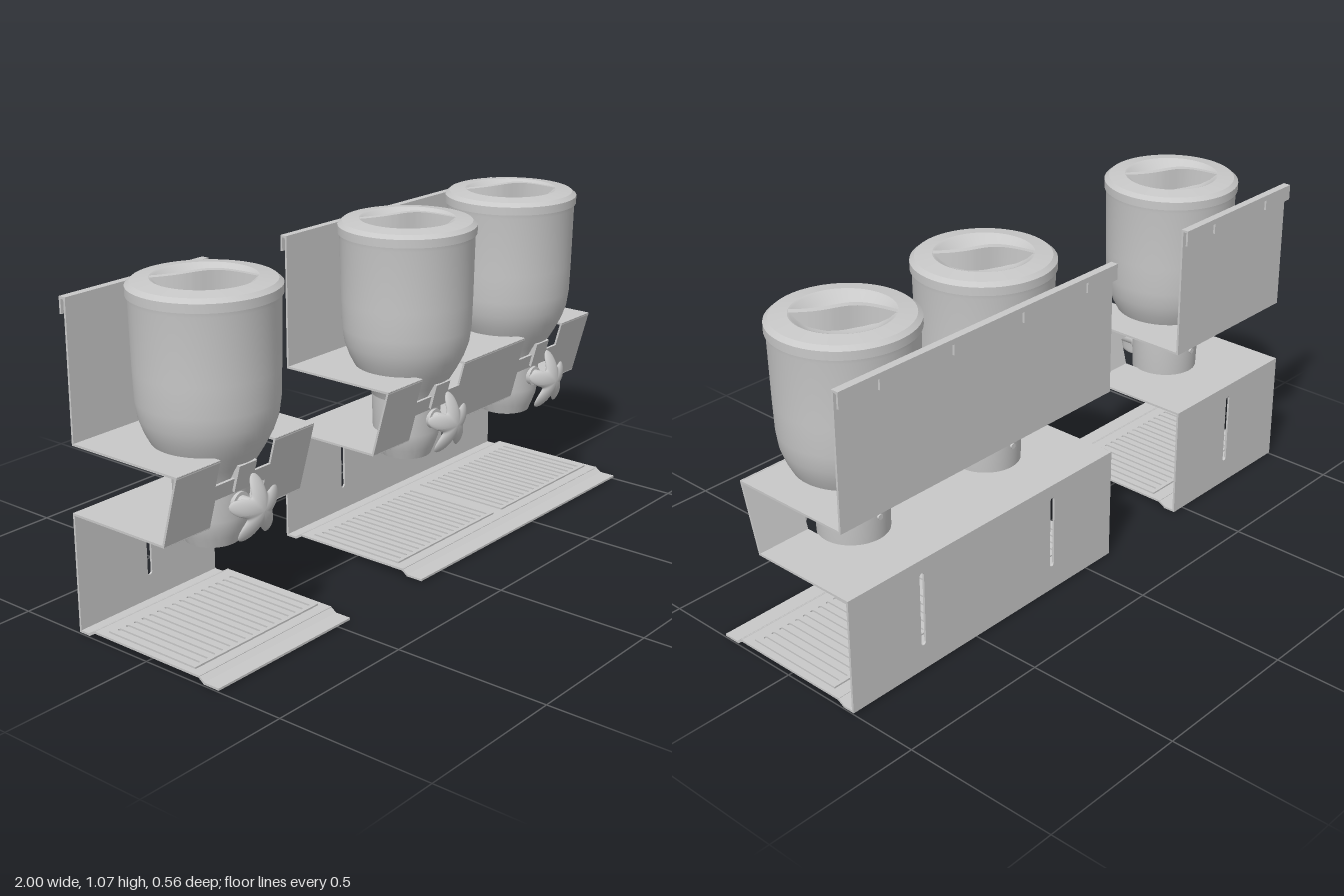
import * as THREE from 'three';
import { toCreasedNormals } from 'three/addons/utils/BufferGeometryUtils.js';

const grey = new THREE.MeshStandardMaterial({ color: 0xc8c8c8 });
grey.name = 'light grey';
const T = 0.007; // sheet thickness

function add(parent, name, geometry, x = 0, y = 0, z = 0) {
  const mesh = new THREE.Mesh(geometry, grey);
  mesh.name = name;
  mesh.position.set(x, y, z);
  parent.add(mesh);
  return mesh;
}

const lathe = (pts, sides = 64) => toCreasedNormals(
  new THREE.LatheGeometry(pts.map(([r, y]) => new THREE.Vector2(r, y)), sides), 0.5);

// Rounded slot running along the second axis, used as a hole in a plate
function slot(x, a, b, w) {
  const p = new THREE.Path(), r = w / 2;
  p.moveTo(x - r, a + r);
  p.absarc(x, a + r, r, Math.PI, Math.PI * 2, false);
  p.absarc(x, b - r, r, 0, Math.PI, false);
  p.closePath();
  return p;
}

// Sheet from a to b (each [z, y]), spanning x0..x1; notches [x, width, depth] cut either edge
function sheet(parent, name, a, b, x0, x1, { start = [], end = [], holes = [] } = {}) {
  const A = new THREE.Vector3(0, a[1], a[0]), B = new THREE.Vector3(0, b[1], b[0]);
  const L = A.distanceTo(B), e = T / 2;
  const pts = [[x0, -e]];
  for (const [x, w, d] of start)
    pts.push([x - w / 2, -e], [x - w / 2, d], [x + w / 2, d], [x + w / 2, -e]);
  pts.push([x1, -e], [x1, L + e]);
  for (const [x, w, d] of [...end].reverse())
    pts.push([x + w / 2, L + e], [x + w / 2, L - d], [x - w / 2, L - d], [x - w / 2, L + e]);
  pts.push([x0, L + e]);
  const shape = new THREE.Shape(pts.map(p => new THREE.Vector2(...p)));
  shape.holes = holes;
  const g = new THREE.ExtrudeGeometry(shape, { depth: T, bevelEnabled: false, curveSegments: 6 });
  g.translate(0, 0, -e);
  const X = new THREE.Vector3(1, 0, 0), Y = B.clone().sub(A).normalize();
  g.applyMatrix4(new THREE.Matrix4().makeBasis(X, Y, X.clone().cross(Y)).setPosition(A));
  add(parent, name, g);
}

// Folded sheet stand with hook, two shelves, slotted back and drip tray
function makeStand(x0, x1, centres) {
  const g = new THREE.Group();
  g.name = 'stand';
  const s = (name, a, b, cuts) => sheet(g, name, a, b, x0, x1, cuts);
  const cut = (w, d) => centres.map(c => [c, w, d]);

  s('hookLip', [-0.275, 1.003], [-0.275, 0.96],
    { end: centres.flatMap(c => [[c - 0.138, 0.01, 0.03], [c + 0.138, 0.01, 0.03]]) });
  s('hookTop', [-0.275, 1.003], [-0.257, 1.003]);
  s('upperBack', [-0.257, 1.003], [-0.257, 0.583]);
  s('upperShelf', [-0.257, 0.583], [0.145, 0.583], { end: cut(0.22, 0.07) });
  s('slopedFront', [0.145, 0.583], [0.087, 0.371], { start: cut(0.22, 0.08), end: cut(0.2, 0.09) });
  s('lowerShelf', [0.087, 0.371], [-0.27, 0.371], { start: cut(0.2, 0.07) });
  s('lowerBack', [-0.27, 0.371], [-0.27, 0.008],
    { holes: centres.map(c => slot(c, 0.04, 0.283, 0.018)) });
  const base = [[-0.27, 0.008], [-0.235, 0.008], [-0.21, 0.022], [0.205, 0.022], [0.225, 0.008], [0.276, 0.008]];
  for (let i = 0; i < base.length - 1; i++) s('base', base[i], base[i + 1]);

  for (const c of centres) {
    // Slotted drip grille
    const holes = [];
    for (let i = 0; i < 16; i++) holes.push(slot(c + (i - 7.5) * 0.0305, -0.16, 0.16, 0.012));
    sheet(g, 'dripGrille', [0, 0.0275], [0.0001, 0.0275], c, c); // centre seam strip
    g.children.pop();
    const plate = new THREE.Shape([[-0.255, -0.172], [0.255, -0.172], [0.255, 0.172], [-0.255, 0.172]]
      .map(([x, y]) => new THREE.Vector2(c + x, y)));
    plate.holes = holes;
    const pg = new THREE.ExtrudeGeometry(plate, { depth: 0.006, bevelEnabled: false, curveSegments: 4 });
    pg.rotateX(-Math.PI / 2);
    add(g, 'dripGrille', pg, 0, 0.025, 0);
    // Feet
    for (const dx of [-0.21, 0.21]) for (const z of [-0.253, 0.252])
      add(g, 'foot', new THREE.BoxGeometry(0.042, 0.006, 0.026), c + dx, 0.003, z);
  }
  return g;
}

// Five-lobed knob: a flattened ball pulled into lobes and bowed backwards
function knobGeometry() {
  const g = new THREE.SphereGeometry(1, 80, 20).rotateX(Math.PI / 2);
  const p = g.attributes.position;
  for (let i = 0; i < p.count; i++) {
    const x = p.getX(i), y = p.getY(i), a = Math.atan2(x, y);
    const R = 0.077 + 0.025 * Math.cos(5 * a), r = Math.hypot(x, y) * R;
    p.setXYZ(i, x * R, y * R, p.getZ(i) * 0.013 - 0.03 * (r / 0.1) ** 2);
  }
  g.computeVertexNormals();
  return g;
}

// S-shaped lid grip with an arched top edge
function gripGeometry() {
  const g = new THREE.BoxGeometry(2, 1, 0.022, 28, 1, 1);
  const p = g.attributes.position;
  for (let i = 0; i < p.count; i++) {
    const t = p.getX(i);
    const top = 1.052 + 0.018 * (1 - t * t), bottom = 0.985 + 0.045 * t * t;
    const z = 0.112 * (0.45 * t + 0.55 * t ** 3);
    p.setXYZ(i, 0.1 * t - p.getZ(i) * 0.6, p.getY(i) > 0 ? top : bottom, z + p.getZ(i) * 0.8);
  }
  return toCreasedNormals(g, 0.6);
}

function makeDispenser(x) {
  const g = new THREE.Group();
  g.name = 'dispenser';
  g.position.x = x;
  add(g, 'hopper', lathe([[0.108, 0.48], [0.114, 0.495], [0.133, 0.53], [0.16, 0.575], [0.182, 0.618],
    [0.197, 0.66], [0.204, 0.71], [0.207, 0.8], [0.211, 0.995], [0.213, 1.008], [0, 1.008]].slice(0, -1)));
  add(g, 'spout', lathe([[0, 0.285], [0.08, 0.285], [0.092, 0.315], [0.103, 0.345], [0.107, 0.37],
    [0.111, 0.498], [0, 0.5]]));
  // Lid with a dished centre
  add(g, 'lid', lathe([[0.2, 1.006], [0.217, 1.008], [0.217, 1.034], [0.203, 1.046], [0.15, 1.053],
    [0.143, 1.05], [0.125, 1.032], [0.095, 1.015], [0.05, 1.004], [0, 1.0]]));
  add(g, 'lidGrip', gripGeometry());
  // Turning knob on its shaft
  add(g, 'knobShaft', new THREE.CylinderGeometry(0.022, 0.022, 0.09, 24).rotateX(Math.PI / 2), 0, 0.42, 0.15);
  add(g, 'shaftCollar', new THREE.CylinderGeometry(0.032, 0.032, 0.02, 24).rotateX(Math.PI / 2), 0, 0.42, 0.108);
  add(g, 'knob', knobGeometry(), 0, 0.418, 0.193);
  // Front tab and rear screw on the neck
  add(g, 'neckTab', new THREE.BoxGeometry(0.07, 0.085, 0.03), 0, 0.508, 0.122).rotation.x = 0.27;
  add(g, 'neckScrew', new THREE.CylinderGeometry(0.009, 0.009, 0.01, 16).rotateX(Math.PI / 2), 0, 0.45, -0.111);
  return g;
}

export function createModel() {
  const model = new THREE.Group();
  model.name = 'dispenserStation';
  const units = [[-1, -0.45, [-0.724]], [-0.11, 1, [0.167, 0.722]]];
  for (const [x0, x1, centres] of units) {
    model.add(makeStand(x0, x1, centres));
    for (const c of centres) model.add(makeDispenser(c));
  }
  return model;
}
